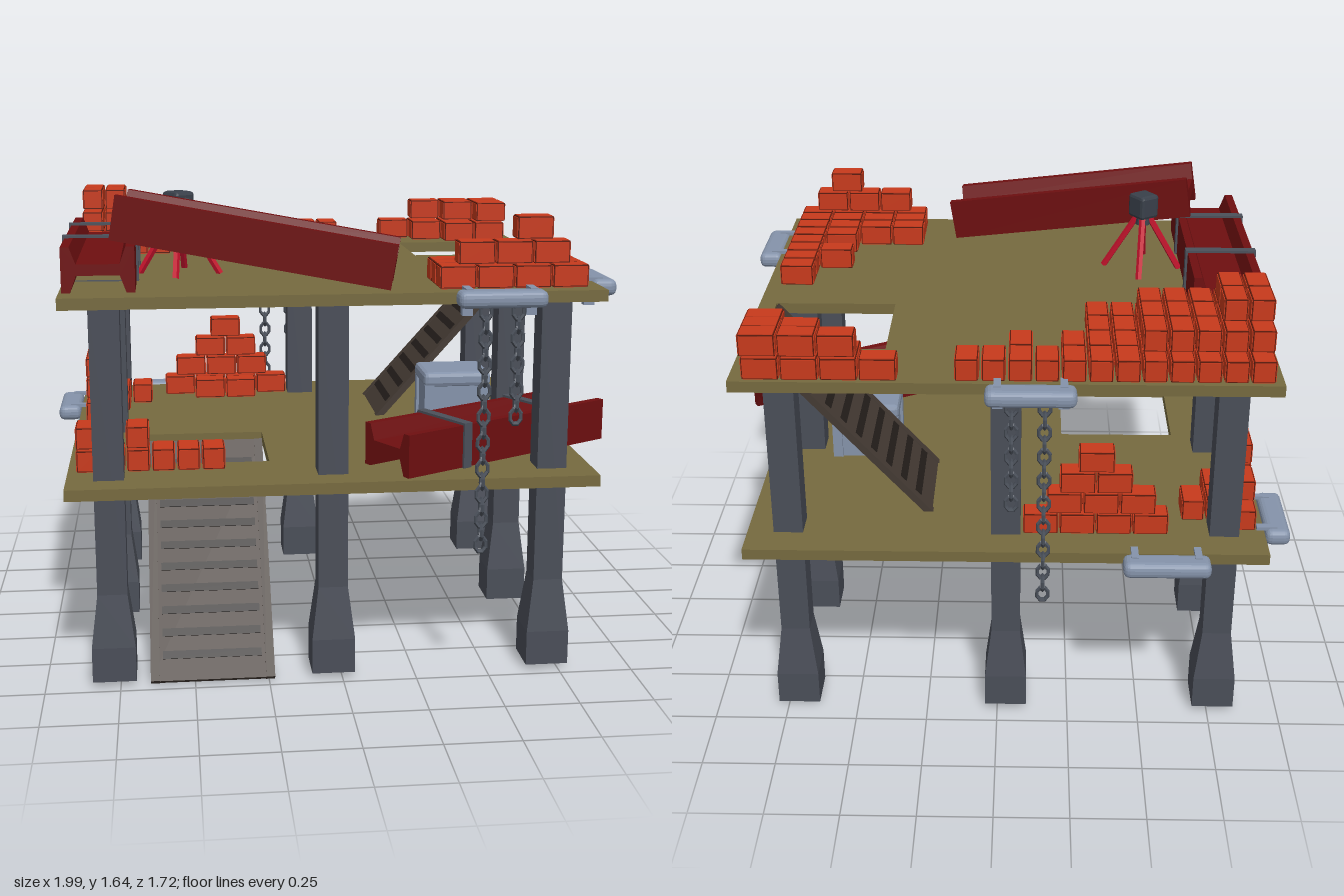
import * as THREE from 'three';
import { mergeGeometries } from 'three/addons/utils/BufferGeometryUtils.js';
import { RoundedBoxGeometry } from 'three/addons/geometries/RoundedBoxGeometry.js';

const mat = (color) => new THREE.MeshStandardMaterial({ color, flatShading: true });
const M = {
  floor: mat(0x766a3f), pillar: mat(0x4a4e58), brick: mat(0xc83a1c), brickEdge: mat(0x5c1a0c),
  beam: mat(0x6e0f10), strap: mat(0x4b505a), steel: mat(0x8593aa), chain: mat(0x4a505a),
  ramp: mat(0x443a33), slot: mat(0x231d1a), leg: mat(0xc4122c), head: mat(0x39404a),
};
const LOW = 0.715, HIGH = 1.335, THICK = 0.038;

function add(parent, name, geometry, material, x = 0, y = 0, z = 0) {
  const m = new THREE.Mesh(geometry, material);
  m.name = name;
  m.position.set(x, y, z);
  parent.add(m);
  return m;
}
const box = (w, h, d, x = 0, y = 0, z = 0) => new THREE.BoxGeometry(w, h, d).translate(x, y, z);

function rect(Type, x0, y0, x1, y1) {
  const s = new Type();
  s.moveTo(x0, y0); s.lineTo(x1, y0); s.lineTo(x1, y1); s.lineTo(x0, y1); s.closePath();
  return s;
}

// Floor slab with a stairwell; shape y becomes world z
function floor(parent, name, top, hole) {
  const s = rect(THREE.Shape, -0.91, -0.77, 0.85, 0.79);
  s.holes.push(rect(THREE.Path, ...hole));
  const g = new THREE.ExtrudeGeometry(s, { depth: THICK, bevelEnabled: false }).rotateX(Math.PI / 2);
  add(parent, name, g, M.floor, 0, top, 0);
}

// H-section beam along z with tapered flanges, optionally strapped
function beam(parent, name, length, straps) {
  const g = new THREE.Group();
  g.name = name;
  const w = 0.117, h = 0.073;
  const quarter = [[w, h], [w - 0.028, h], [w - 0.048, 0.018]];
  const pts = [...quarter,
    ...quarter.map(([x, y]) => [-x, y]).reverse(),
    ...quarter.map(([x, y]) => [-x, -y]),
    ...quarter.map(([x, y]) => [x, -y]).reverse()];
  const s = new THREE.Shape(pts.map(([x, y]) => new THREE.Vector2(x, y)));
  add(g, 'beamBody', new THREE.ExtrudeGeometry(s, { depth: length, bevelEnabled: false }), M.beam, 0, 0, -length / 2);
  for (const z of straps) {
    const ring = rect(THREE.Shape, -w - 0.008, -h - 0.002, w + 0.008, h + 0.008);
    ring.holes.push(rect(THREE.Path, -w, -h, w, h));
    add(g, 'strap', new THREE.ExtrudeGeometry(ring, { depth: 0.034, bevelEnabled: false }), M.strap, 0, 0, z - 0.017);
  }
  parent.add(g);
  return g;
}

// Sloping gangway with cross slots, running down along local +z
function ramp(parent, name, width, length) {
  const g = new THREE.Group();
  g.name = name;
  add(g, 'board', box(width, 0.018, length), M.ramp);
  for (const s of [-1, 1]) add(g, 'sideRail', box(0.03, 0.024, length, s * (width / 2 - 0.015)), M.ramp);
  const slots = [];
  for (let i = 0; i < 10; i++) slots.push(box(width * 0.8, 0.004, 0.028, 0, 0.01, (i - 4.5) * length * 0.089));
  add(g, 'slots', mergeGeometries(slots), M.slot);
  parent.add(g);
  return g;
}

// Each row: [axis of the brick length, layer, x, z, count, step x, step z]
const S = 0.084, L = 0.124;
function bricks(parent, name, base, rows) {
  const faces = [], edges = [], w = 0.12, h = 0.076, d = 0.077, b = 0.012;
  for (const [axis, layer, x, z, n, dx, dz] of rows) {
    for (let i = 0; i < n; i++) {
      const place = (geo) => {
        if (axis === 'z') geo.rotateY(Math.PI / 2);
        return geo.translate(x + i * dx, base + h / 2 + layer * 0.079, z + i * dz);
      };
      faces.push(place(box(w, h - b, d - b)), place(box(w - b, h, d - b)), place(box(w - b, h - b, d)));
      edges.push(place(box(w - b * 0.45, h - b * 0.45, d - b * 0.45)));
    }
  }
  const g = new THREE.Group();
  g.name = name;
  add(g, 'brickFaces', mergeGeometries(faces), M.brick);
  add(g, 'brickEdges', mergeGeometries(edges), M.brickEdge);
  parent.add(g);
}

// Rounded edge clamp, pointing outward along local +z
function clamp(parent, x, y, z, turn) {
  const g = new THREE.Group();
  g.name = 'edgeClamp';
  add(g, 'clampBar', new RoundedBoxGeometry(0.29, 0.056, 0.085, 2, 0.022), M.steel, 0, 0, -0.043);
  for (const s of [-1, 1]) {
    add(g, 'clampTab', box(0.024, 0.012, 0.07, s * 0.105, 0.026, -0.08), M.steel);
    add(g, 'clampFoot', box(0.034, 0.04, 0.035, s * 0.105, -0.04, -0.09), M.steel);
  }
  g.position.set(x, y, z);
  g.rotation.y = turn;
  parent.add(g);
}

// Hanging chain of alternating links
function chain(parent, x, z, top, bottom) {
  const links = [], pitch = 0.043, n = Math.round((top - bottom) / pitch);
  for (let i = 0; i < n; i++) {
    links.push(new THREE.TorusGeometry(0.019, 0.0065, 5, 8).rotateZ(Math.PI / 8).scale(1, 1.35, 1)
      .rotateY(i % 2 ? Math.PI / 2 : 0).translate(x, top - (i + 0.5) * pitch, z));
  }
  add(parent, 'chain', mergeGeometries(links), M.chain);
}

export function createModel() {
  const model = new THREE.Group();
  model.name = 'scaffoldBuilding';

  floor(model, 'lowerFloor', LOW, [-0.65, 0.09, -0.23, 0.5]);
  floor(model, 'upperFloor', HIGH, [0.37, -0.51, 0.79, -0.12]);

  // Eight flared pillars around the perimeter
  const profile = [[0, 0.02], [0.073, 0.02], [0.073, 0.14], [0.05, 0.32], [0.05, 1.31], [0, 1.31]]
    .map(([r, y]) => new THREE.Vector2(r * Math.SQRT2, y));
  const pillar = new THREE.LatheGeometry(profile, 4, Math.PI / 4);
  for (const x of [-0.77, -0.03, 0.71]) for (const z of [0.64, 0, -0.605]) {
    if (x !== -0.03 || z !== 0) add(model, 'pillar', pillar, M.pillar, x, 0, z);
  }

  // Gangways
  const lower = ramp(model, 'lowerRamp', 0.42, 0.91);
  lower.position.set(-0.44, 0.349, 0.405);
  lower.rotation.x = 0.84;
  const upper = ramp(model, 'upperRamp', 0.385, 0.84);
  upper.position.set(0.51, 1.015, -0.315);
  upper.rotation.set(0.84, -Math.PI / 2, 0, 'YXZ');

  // Beams
  beam(model, 'upperBeam', 0.905, [-0.19, 0.19]).position.set(-0.783, HIGH + 0.073, 0.23);
  const low = beam(model, 'lowerBeam', 0.9, [-0.2, 0.2]);
  low.position.set(0.54, LOW + 0.076, 0.45);
  low.rotation.y = -Math.PI / 3;
  const tilted = beam(model, 'leaningBeam', 0.92, []);
  tilted.position.set(-0.27, 1.49, 0.58);
  tilted.rotation.set(0.165, 1.384, 0, 'YXZ');

  // Storage crate
  const crate = new THREE.Group();
  crate.name = 'crate';
  add(crate, 'crateBody', box(0.225, 0.16, 0.2), M.steel, 0, 0.08, 0);
  add(crate, 'crateLid', new RoundedBoxGeometry(0.25, 0.055, 0.225, 1, 0.016), M.steel, 0, 0.185, 0);
  for (const x of [-1, 1]) for (const z of [-1, 1]) {
    add(crate, 'cratePost', box(0.035, 0.165, 0.035, x * 0.105, 0.083, z * 0.093), M.steel);
  }
  crate.position.set(0.498, LOW, 0);
  model.add(crate);

  // Surveying tripod with four splayed legs
  const tripod = new THREE.Group();
  tripod.name = 'tripod';
  for (let i = 0; i < 4; i++) {
    const a = i * Math.PI / 2 + 0.12;
    const path = new THREE.LineCurve3(new THREE.Vector3(Math.cos(a) * 0.02, 0.2, Math.sin(a) * 0.02),
      new THREE.Vector3(Math.cos(a) * 0.14, 0, Math.sin(a) * 0.14));
    add(tripod, 'tripodLeg', new THREE.TubeGeometry(path, 1, 0.012, 5), M.leg);
  }
  add(tripod, 'tripodNeck', new THREE.CylinderGeometry(0.025, 0.03, 0.04, 8), M.head, 0, 0.19, 0);
  const head = add(tripod, 'instrument', new RoundedBoxGeometry(0.08, 0.088, 0.085, 1, 0.012), M.head, 0, 0.24, 0);
  head.rotation.y = 0.6;
  const lens = add(head, 'lens', new THREE.CylinderGeometry(0.024, 0.024, 0.015, 8).rotateX(Math.PI / 2), M.strap, 0, 0, 0.047);
  lens.name = 'lens';
  tripod.position.set(-0.52, HIGH, 0.27);
  model.add(tripod);

  // Brick piles on the upper floor
  const backLeft = [];
  [4, 4, 4, 4, 4, 4, 4, 2, 1, 2, 1, 1].forEach((n, i) => {
    const x = -0.842 + i * 0.085;
    backLeft.push(['z', 0, x, -0.695, n, 0, L]);
    if (i < 5) backLeft.push(['z', 1, x, -0.635, 3, 0, L]);
    if (i < 2) backLeft.push(['z', 2, x, -0.57, 2, 0, L]);
  });
  bricks(model, 'backLeftBricks', HIGH, backLeft);

  const frontRight = [['x', 1, 0.43, 0.69, 3, L, 0], ['x', 2, 0.62, 0.69, 1, 0, 0]];
  [4, 4, 4, 2, 1, 2, 1, 1].forEach((n, i) => frontRight.push(['x', 0, 0.742, 0.69 - i * S * 1.02, n, -L, 0]));
  bricks(model, 'frontRightBricks', HIGH, frontRight);

  bricks(model, 'backRightBricks', HIGH, [
    ['x', 0, 0.745, -0.72, 4, -L, 0], ['x', 0, 0.745, -0.645, 3, -L, 0], ['x', 0, 0.745, -0.575, 2, -L, 0],
    ['x', 1, 0.75, -0.718, 3, -L, 0], ['x', 1, 0.75, -0.645, 2, -L, 0], ['x', 1, 0.75, -0.575, 1, -L, 0]]);

  // Brick piles on the lower floor
  bricks(model, 'backBricks', LOW, [
    ['x', 0, -0.52, -0.61, 4, L, 0], ['x', 1, -0.475, -0.61, 3, L, 0], ['x', 2, -0.395, -0.61, 2, L, 0],
    ['x', 3, -0.333, -0.61, 1, 0, 0], ['x', 0, -0.4, -0.53, 2, L, 0]]);
  bricks(model, 'leftBricks', LOW, [
    ['z', 0, -0.842, -0.555, 4, 0, L], ['z', 1, -0.842, -0.49, 3, 0, L], ['z', 2, -0.842, -0.37, 2, 0, L],
    ['z', 0, -0.757, -0.49, 2, 0, L], ['z', 0, -0.672, -0.49, 1, 0, L]]);
  bricks(model, 'frontLeftBricks', LOW, [
    ['z', 0, -0.842, 0.53, 6, S, 0], ['z', 1, -0.842, 0.53, 1, 0, 0], ['z', 1, -0.675, 0.53, 1, 0, 0]]);

  // Edge clamps and the chains hanging from two of them
  const up = HIGH - THICK / 2, dn = LOW - THICK / 2;
  clamp(model, 0.497, up, 0.852, 0);
  clamp(model, 0.93, up, 0.487, Math.PI / 2);
  clamp(model, -0.11, up, -0.86, Math.PI);
  clamp(model, -0.565, dn, -0.86, Math.PI);
  clamp(model, -1.0, dn, -0.495, -Math.PI / 2);
  chain(model, 0.44, 0.835, 1.3, 0.49);
  chain(model, 0.545, 0.835, 1.3, 0.9);
  chain(model, -0.155, -0.825, 1.3, 0.59);
  chain(model, -0.05, -0.825, 1.3, 0.9);

  return model;
}
